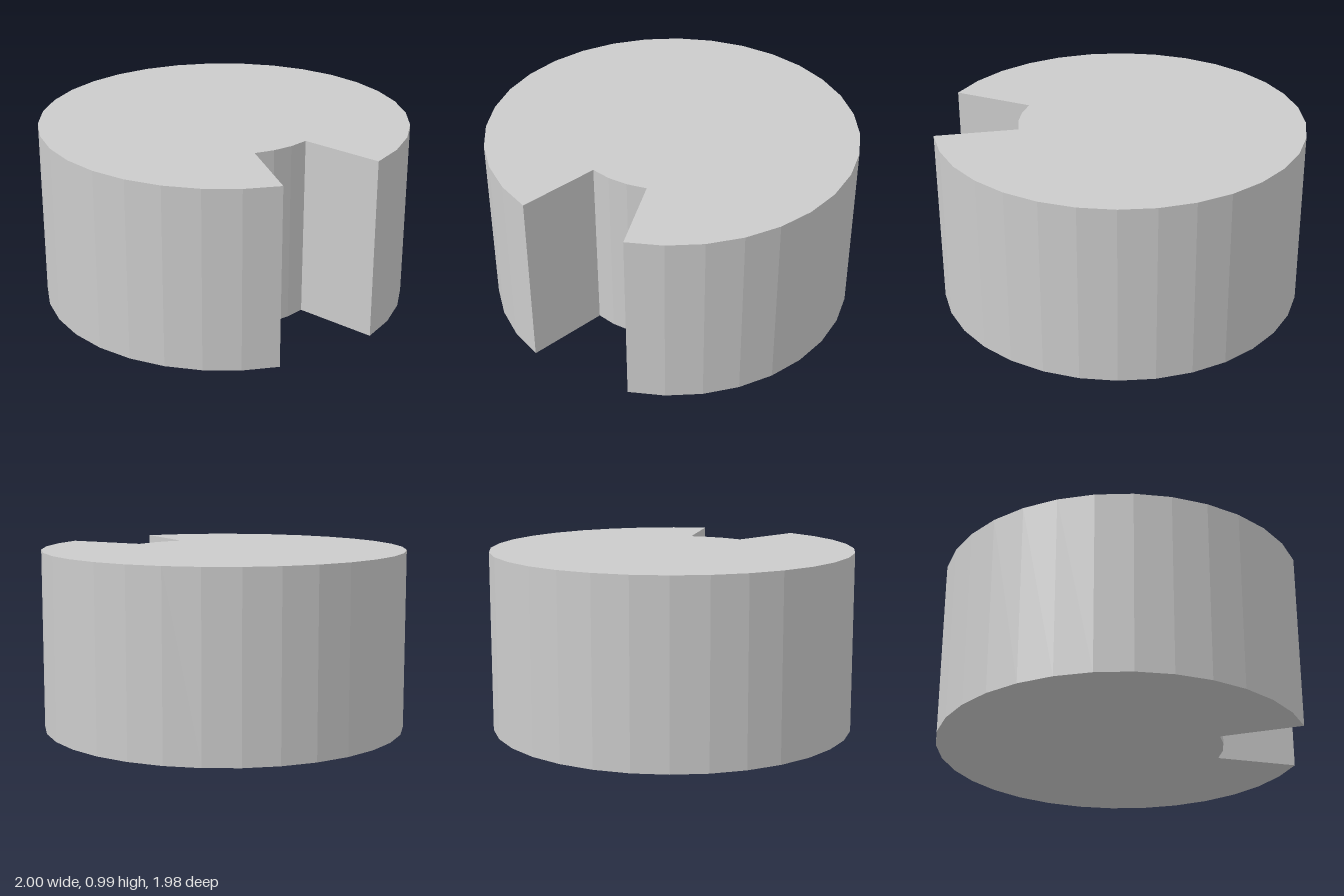
import * as THREE from 'three';

const SIDES = 32;
const STEP = (Math.PI * 2) / SIDES;
const RADIUS = 1;
const NOTCH_RADIUS = 0.55;
const HEIGHT = 0.985;
const CENTRE_Z = 0.01;

// Plan point at a given facet step, counted from the front (+z) towards +x
const planPoint = (radius, step) =>
  new THREE.Vector2(radius * Math.sin(step * STEP), -radius * Math.cos(step * STEP));

export function createModel() {
  const group = new THREE.Group();
  const outline = [];

  // Outer rim, all the way round from one side of the notch to the other
  for (let i = 2; i <= SIDES - 1; i++) outline.push(planPoint(RADIUS, i));
  // Curved back wall of the notch
  for (let i = -1; i <= 2; i++) outline.push(planPoint(NOTCH_RADIUS, i));

  const geometry = new THREE.ExtrudeGeometry(new THREE.Shape(outline), {
    depth: HEIGHT,
    bevelEnabled: false,
  });
  geometry.rotateX(-Math.PI / 2);
  geometry.translate(0, 0, CENTRE_Z);

  const material = new THREE.MeshStandardMaterial({ color: 0xcccccc, flatShading: true });
  const drum = new THREE.Mesh(geometry, material);
  drum.name = 'notchedDrum';
  group.add(drum);
  return group;
}
